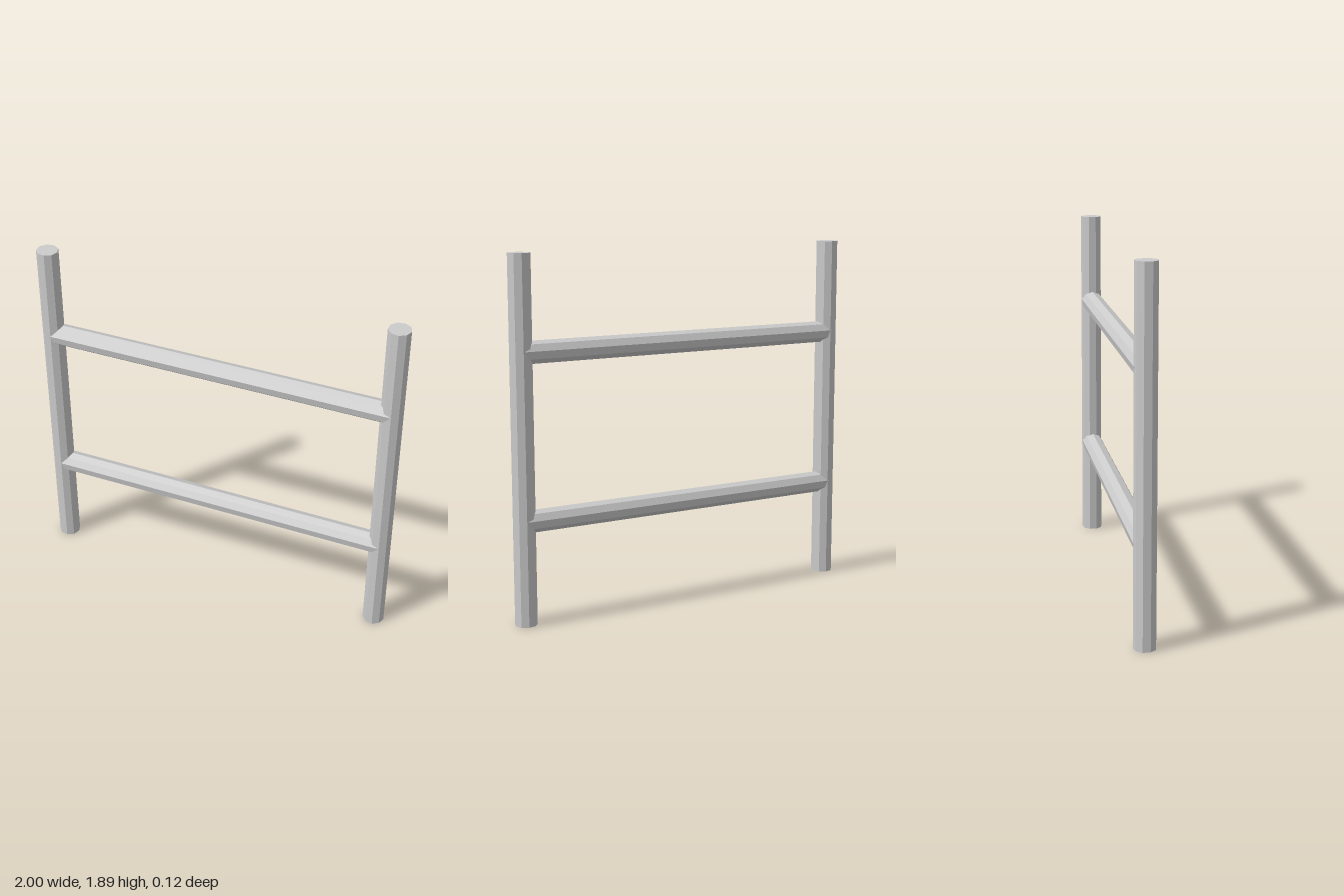
import * as THREE from 'three';

const RADIUS = 0.0585;
const HEIGHT = 1.89;
const SIDES = 9;

export function createModel() {
  const group = new THREE.Group();
  const material = new THREE.MeshStandardMaterial({ color: 0xcccccc, flatShading: true });

  // Nine-sided pole along y with one corner pointing to +x
  const pole = (name, length) => {
    const geometry = new THREE.CylinderGeometry(RADIUS, RADIUS, length, SIDES, 1, false, Math.PI / 2);
    const mesh = new THREE.Mesh(geometry, material);
    mesh.name = name;
    group.add(mesh);
    return mesh;
  };

  // Upright posts
  const leftX = 1 - RADIUS;
  const rightX = -1 + RADIUS * Math.cos(Math.PI / SIDES);
  pole('leftPost', HEIGHT).position.set(leftX, HEIGHT / 2, 0);
  pole('rightPost', HEIGHT).position.set(rightX, HEIGHT / 2, 0);

  // Rails between the post centres, rising slightly towards the left post
  const span = leftX - rightX;
  const rise = 0.011;
  for (const [name, y] of [['lowerRail', 0.532], ['upperRail', 1.391]]) {
    const rail = pole(name, Math.hypot(span, rise));
    rail.position.set((leftX + rightX) / 2, y, 0);
    rail.rotation.z = Math.PI / 2 + Math.atan2(rise, span);
  }

  return group;
}
